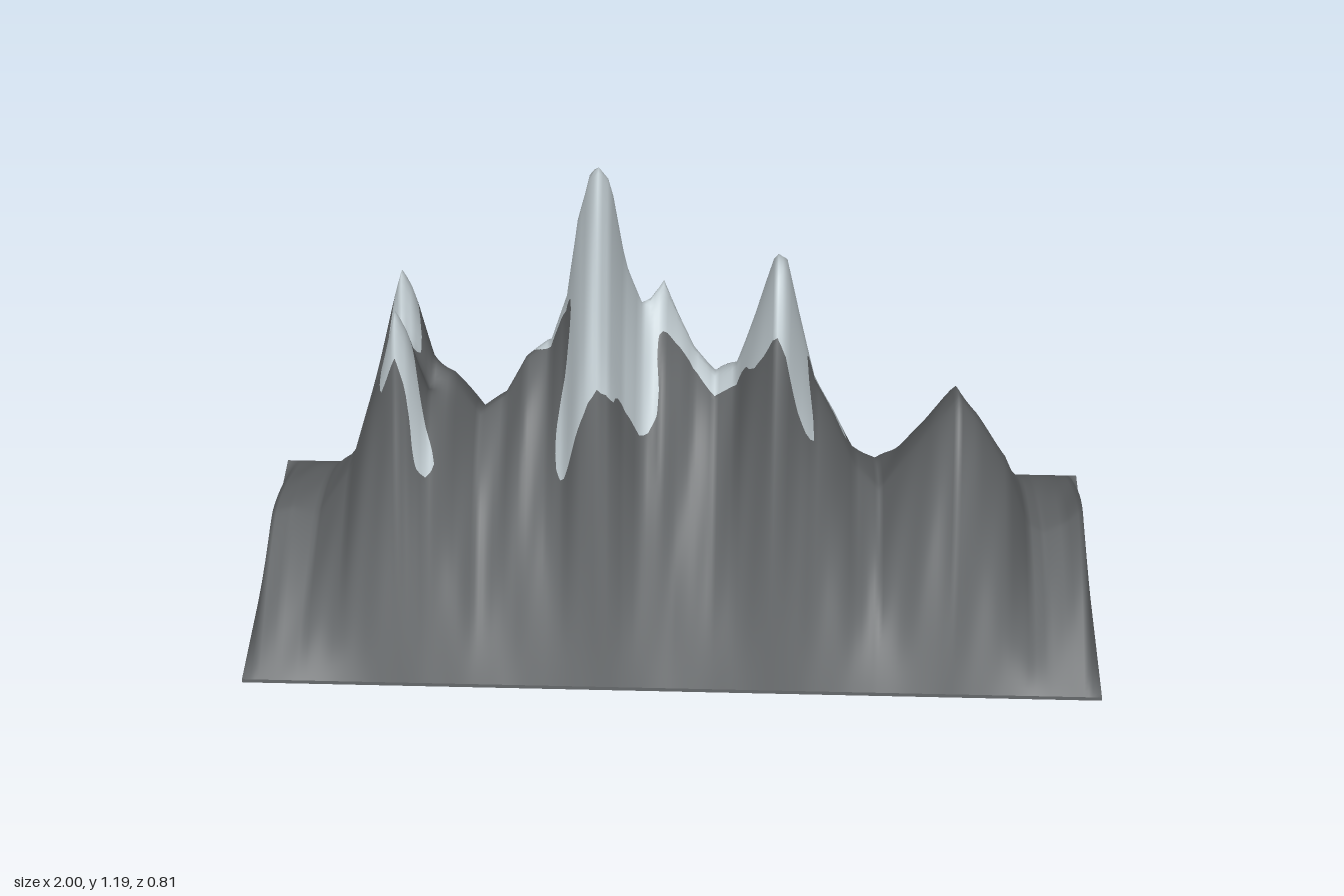
import * as THREE from 'three';

const HALF_X = 1, HALF_Z = 0.405, BASE = 0.01;

// Crest line: [x, height]
const CREST = [
  [-1, 0.165], [-0.97, 0.17], [-0.92, 0.185], [-0.86, 0.17], [-0.77, 0.32], [-0.7, 0.57],
  [-0.63, 0.82], [-0.605, 0.77], [-0.57, 0.62], [-0.52, 0.57], [-0.46, 0.46], [-0.4, 0.51],
  [-0.35, 0.61], [-0.29, 0.66], [-0.25, 0.8], [-0.22, 1.02], [-0.19, 1.15], [-0.172, 1.18],
  [-0.145, 1.13], [-0.115, 0.9], [-0.08, 0.77], [-0.06, 0.77], [-0.03, 0.805], [0, 0.73],
  [0.04, 0.64], [0.09, 0.58], [0.14, 0.63], [0.18, 0.78], [0.225, 0.97], [0.25, 0.95],
  [0.28, 0.8], [0.32, 0.62], [0.37, 0.5], [0.42, 0.37], [0.48, 0.3], [0.53, 0.39],
  [0.6, 0.52], [0.65, 0.6], [0.7, 0.52], [0.78, 0.36], [0.84, 0.18], [0.88, 0.15],
  [0.93, 0.17], [0.97, 0.21], [1, 0.21],
];
// Where the crest lies in depth, and how rounded the slope is: [x, value]
const CREST_Z = [[-1, 0], [-0.63, 0], [-0.3, -0.06], [-0.17, 0], [-0.1, -0.04], [-0.03, -0.1],
  [0.09, -0.04], [0.23, 0.04], [0.45, 0.02], [0.65, 0.05], [0.85, 0], [1, -0.03]];
const ROUND = [[-1, 1.4], [-0.63, 1.8], [-0.45, 1.5], [-0.17, 1.4], [0, 1.3], [0.23, 1.8],
  [0.45, 1.5], [0.65, 1.65], [1, 1.45]];

// Snow outlines in plan: [x, z]
const SNOW = [
  [[-0.35, -0.15], [-0.26, -0.18], [-0.23, -0.25], [-0.16, -0.275], [-0.09, -0.24], [-0.06, -0.2],
    [0.02, -0.16], [0.06, -0.1], [0.14, -0.07], [0.21, -0.06], [0.21, -0.11], [0.15, -0.19],
    [0.2, -0.245], [0.25, -0.235], [0.28, -0.16], [0.31, -0.11], [0.38, -0.07], [0.4, -0.015],
    [0.35, -0.005], [0.3, 0.04], [0.32, 0.15], [0.25, 0.165], [0.18, 0.11], [0.15, 0.04],
    [0.08, 0.01], [0.03, -0.02], [-0.04, -0.01], [-0.04, 0.1], [-0.12, 0.16], [-0.14, 0.2],
    [-0.2, 0.22], [-0.26, 0.2], [-0.27, 0.13], [-0.235, 0.05], [-0.26, -0.02], [-0.33, -0.06]],
  [[-0.66, -0.16], [-0.62, -0.175], [-0.6, -0.1], [-0.59, -0.02], [-0.64, 0.01], [-0.67, -0.02],
    [-0.645, -0.09]],
  [[-0.67, 0.06], [-0.63, 0.03], [-0.6, 0.06], [-0.58, 0.11], [-0.55, 0.17], [-0.59, 0.2],
    [-0.61, 0.14], [-0.67, 0.11]],
].map((o) => new THREE.SplineCurve([...o, o[0]].map((p) => new THREE.Vector2(...p))).getPoints(o.length * 3));

function lookup(table, x) {
  let i = 1;
  while (i < table.length - 1 && table[i][0] < x) i++;
  const [x0, a] = table[i - 1], [x1, b] = table[i];
  return a + (b - a) * THREE.MathUtils.clamp((x - x0) / (x1 - x0), 0, 1);
}
const bump = (x, z, cx, cz, rx, rz) => Math.exp(-(((x - cx) / rx) ** 2) - ((z - cz) / rz) ** 2);

// Ground height: crest falling to the rim, softer low down, with gullies and spurs
function height(x, z) {
  const zc = lookup(CREST_Z, x);
  const t = Math.min(1, z > zc ? (z - zc) / (HALF_Z - zc) : (zc - z) / (HALF_Z + zc));
  let wide = 0;
  for (const d of [-0.14, -0.07, 0, 0.07, 0.14]) wide += lookup(CREST, x + d) / 5;
  const crest = THREE.MathUtils.lerp(lookup(CREST, x), wide, 0.6 * t * t);
  const fall = 1 - t ** lookup(ROUND, x);
  const edge = Math.min(1, (HALF_X - Math.abs(x)) / 0.03);
  const gully = (Math.sin(x * 34 + Math.sin(z * 9) * 1.6) + 0.6 * Math.sin(x * 71 + z * 13 + 1)) * 0.05 * t * fall;
  let h = crest * (fall + gully);
  h += 0.1 * bump(x, z, -0.16, 0.23, 0.09, 0.07) * fall; // front spur of the main peak
  h -= 0.11 * bump(x, z, -0.62, 0, 0.06, 0.045); // notch between the twin tips
  h += 0.07 * (bump(x, z, -0.625, 0.09, 0.05, 0.05) + bump(x, z, -0.63, -0.09, 0.05, 0.05));
  return BASE + Math.max(0, h) * edge;
}

// Signed distance to the snow outlines, positive inside
function snowAt(x, z) {
  let best = -1;
  for (const o of SNOW) {
    let inside = false, near = Infinity;
    for (let i = 0, j = o.length - 1; i < o.length; j = i++) {
      const a = o[i], b = o[j], dx = b.x - a.x, dz = b.y - a.y;
      if (a.y > z !== b.y > z && x < a.x + (dx * (z - a.y)) / dz) inside = !inside;
      const k = THREE.MathUtils.clamp(((x - a.x) * dx + (z - a.y) * dz) / (dx * dx + dz * dz || 1), 0, 1);
      near = Math.min(near, Math.hypot(x - a.x - k * dx, z - a.y - k * dz));
    }
    best = Math.max(best, inside ? near : -near);
  }
  return best;
}

// Part of a triangle on one side of the snow line
function clip(tri, sign) {
  const out = [];
  tri.forEach((a, i) => {
    const b = tri[(i + 1) % 3];
    if (a.s * sign >= 0) out.push(a.p);
    if (a.s * b.s < 0) out.push(a.p.clone().lerp(b.p, a.s / (a.s - b.s)));
  });
  return out;
}

function surface(tris, sign) {
  const pos = [], nor = [], e = 0.006, n = new THREE.Vector3();
  for (const tri of tris) {
    if (!tri.some((v) => v.s * sign > 0)) continue;
    const poly = clip(tri, sign);
    for (let i = 1; i < poly.length - 1; i++) {
      for (const p of [poly[0], poly[i], poly[i + 1]]) {
        const x0 = Math.max(-HALF_X, p.x - e), x1 = Math.min(HALF_X, p.x + e);
        const z0 = Math.max(-HALF_Z, p.z - e), z1 = Math.min(HALF_Z, p.z + e);
        n.set((height(x0, p.z) - height(x1, p.z)) / (x1 - x0), 1,
          (height(p.x, z0) - height(p.x, z1)) / (z1 - z0)).normalize();
        pos.push(p.x, p.y, p.z);
        nor.push(n.x, n.y, n.z);
      }
    }
  }
  const g = new THREE.BufferGeometry();
  g.setAttribute('position', new THREE.Float32BufferAttribute(pos, 3));
  g.setAttribute('normal', new THREE.Float32BufferAttribute(nor, 3));
  return g;
}

export function createModel() {
  const group = new THREE.Group();
  group.name = 'mountainRange';
  const rock = new THREE.MeshStandardMaterial({ color: 0x66696b });
  rock.name = 'grey rock';
  const snow = new THREE.MeshStandardMaterial({ color: 0xc6d1d6 });
  snow.name = 'pale snow';
  const add = (name, geometry, material) => {
    const mesh = new THREE.Mesh(geometry, material);
    mesh.name = name;
    group.add(mesh);
    return mesh;
  };

  // Terrain grid
  const nx = 200, nz = 72, grid = [], tris = [];
  for (let j = 0; j <= nz; j++) {
    for (let i = 0; i <= nx; i++) {
      const x = -HALF_X + (2 * HALF_X * i) / nx, z = -HALF_Z + (2 * HALF_Z * j) / nz;
      grid.push({ p: new THREE.Vector3(x, height(x, z), z), s: snowAt(x, z) });
    }
  }
  for (let j = 0; j < nz; j++) {
    for (let i = 0; i < nx; i++) {
      const a = grid[j * (nx + 1) + i], b = grid[j * (nx + 1) + i + 1];
      const c = grid[(j + 1) * (nx + 1) + i], d = grid[(j + 1) * (nx + 1) + i + 1];
      tris.push([a, c, b], [b, c, d]);
    }
  }
  add('rockSlopes', surface(tris, -1), rock);
  add('snowCaps', surface(tris, 1), snow);

  // Thin plinth under the slopes
  add('base', new THREE.BoxGeometry(2 * HALF_X, BASE, 2 * HALF_Z), rock).position.y = BASE / 2;
  return group;
}
